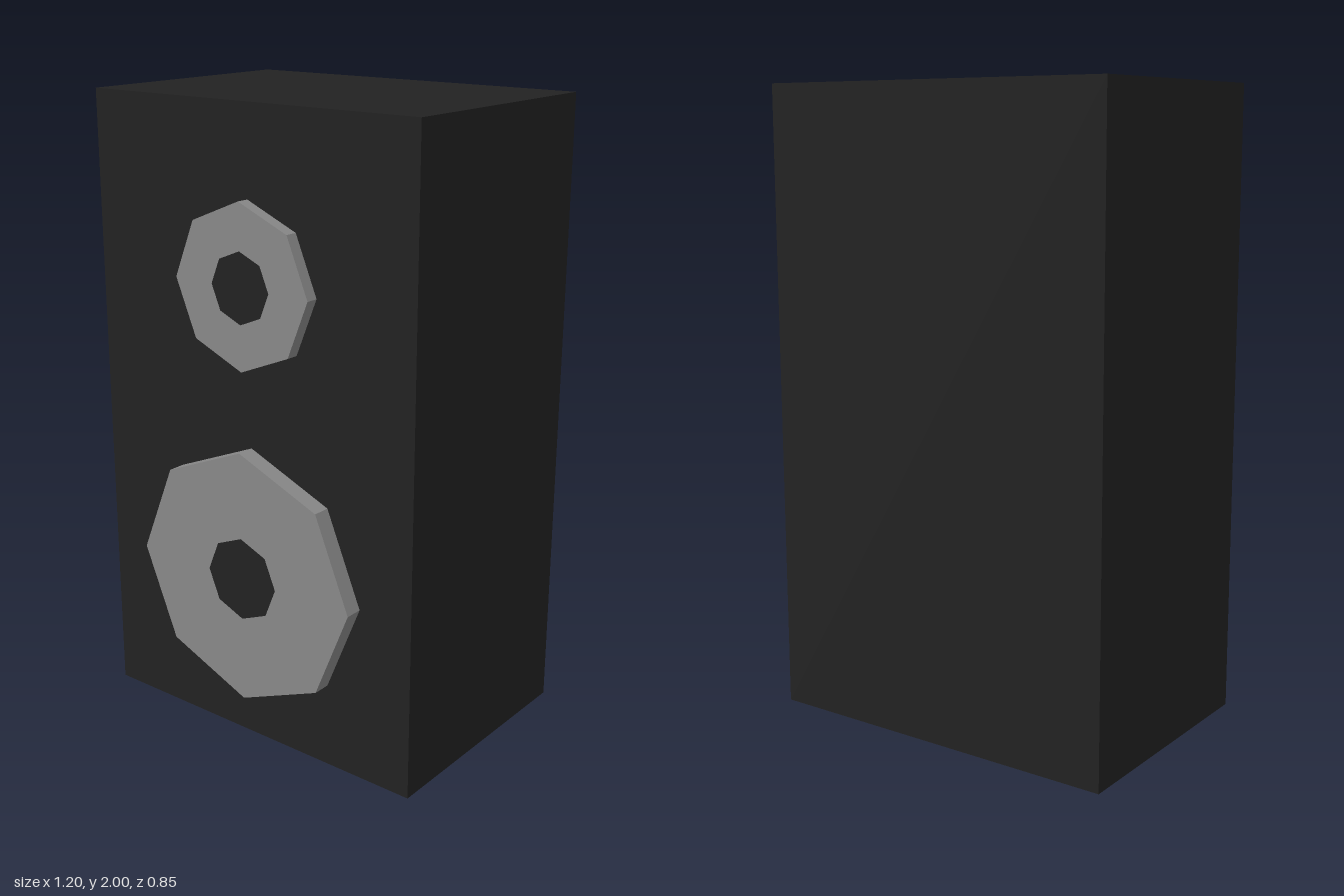
import * as THREE from 'three';

const FRONT = 0.37;   // z of the front panel
const BACK = -0.427;  // z of the rear panel

const material = (color) => new THREE.MeshStandardMaterial({
  color, flatShading: true, side: THREE.DoubleSide,
});

function addMesh(parent, name, geometry, mat) {
  const mesh = new THREE.Mesh(geometry, mat);
  mesh.name = name;
  parent.add(mesh);
  return mesh;
}

// Octagonal driver: open-backed rim, flat ring and a flush dark centre
function createDriver(name, radius, innerRadius, y, front, grey, dark) {
  const driver = new THREE.Group();
  driver.name = name;
  driver.position.set(0.005, y, front);

  const depth = front - FRONT + 0.025; // the rim reaches slightly through the panel
  const rim = new THREE.CylinderGeometry(radius, radius, depth, 8, 1, true);
  rim.rotateX(Math.PI / 2).translate(0, 0, -depth / 2);
  addMesh(driver, name + 'Rim', rim, grey);
  addMesh(driver, name + 'Cone', new THREE.RingGeometry(innerRadius, radius, 8), grey);
  addMesh(driver, name + 'Centre', new THREE.CircleGeometry(innerRadius, 8), dark);
  return driver;
}

export function createModel() {
  const model = new THREE.Group();
  model.name = 'loudspeaker';
  const dark = material(0x222222);
  const grey = material(0x888888);

  // Cabinet shell, open underneath (the bottom face is left out)
  const shell = new THREE.BoxGeometry(1.2, 2, FRONT - BACK);
  const index = Array.from(shell.index.array);
  index.splice(18, 6);
  shell.setIndex(index);
  shell.clearGroups();
  shell.translate(0, 1, (FRONT + BACK) / 2);
  addMesh(model, 'cabinet', shell, dark);

  // Drivers
  model.add(createDriver('tweeter', 0.252, 0.109, 1.474, 0.41, grey, dark));
  model.add(createDriver('woofer', 0.411, 0.134, 0.563, 0.427, grey, dark));

  return model;
}
